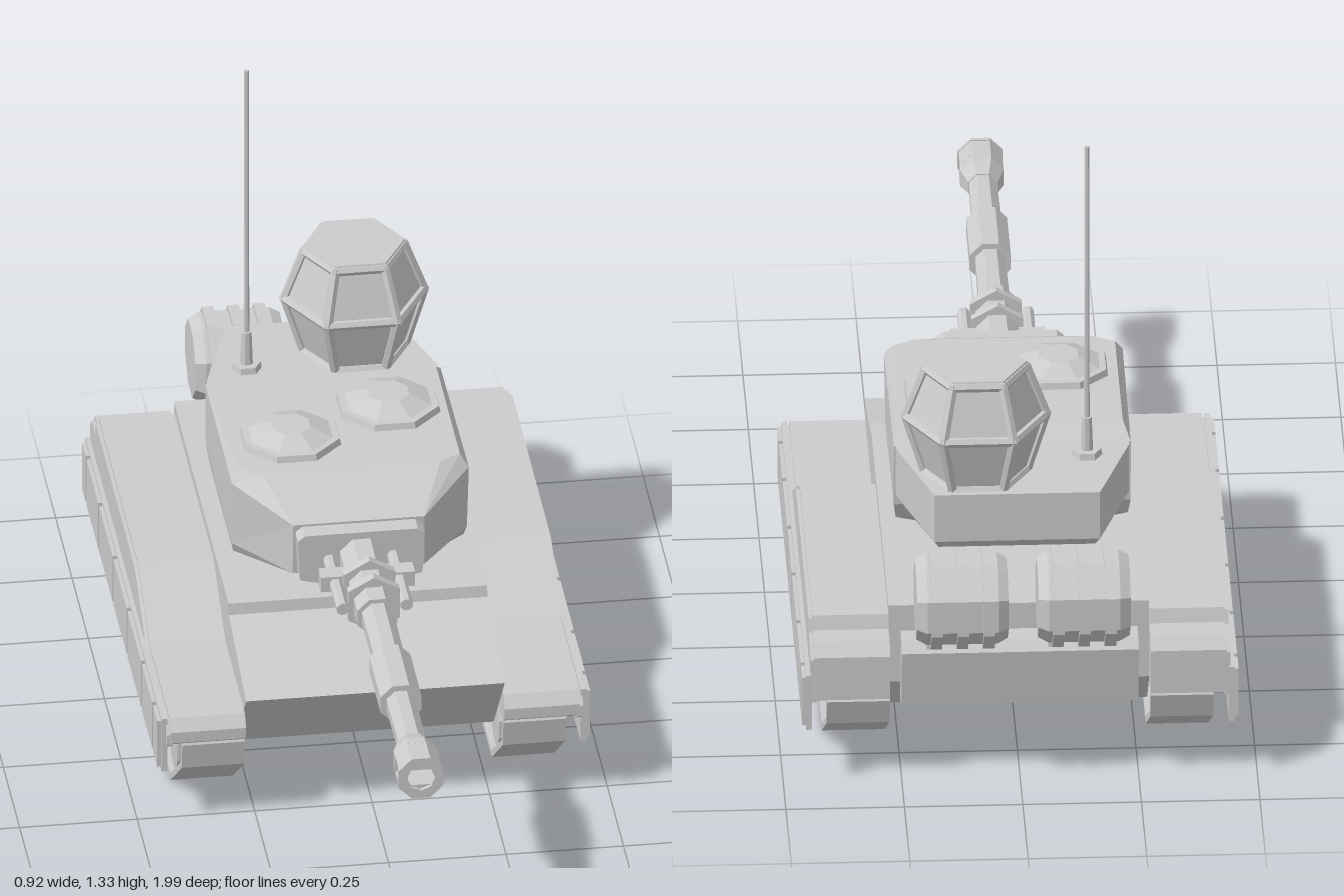
import * as THREE from 'three';

const grey = new THREE.MeshStandardMaterial({ color: 0xcccccc, flatShading: true });

export function createModel() {
  const model = new THREE.Group();
  const add = (name, geo, parent = model) => {
    const mesh = new THREE.Mesh(geo, grey);
    mesh.name = name;
    parent.add(mesh);
    return mesh;
  };
  const group = (name) => {
    const g = new THREE.Group();
    g.name = name;
    model.add(g);
    return g;
  };
  const box = (name, size, pos, parent) =>
    add(name, new THREE.BoxGeometry(...size).translate(...pos), parent);

  // Cylinder or frustum along an axis; r1 is the end at the larger coordinate
  const cyl = (name, axis, r1, r0, h, sides, pos, parent, turn = Math.PI / sides) => {
    const g = new THREE.CylinderGeometry(r1, r0, h, sides, 1, false, turn);
    if (axis === 'z') g.rotateX(Math.PI / 2);
    if (axis === 'x') g.rotateZ(-Math.PI / 2);
    return add(name, g.translate(...pos), parent);
  };
  const toShape = (pts) => new THREE.Shape(pts.map((p) => new THREE.Vector2(...p)));

  // Side profile of [z, y] points extruded across x0..x1
  const across = (name, pts, x0, x1, parent, hole) => {
    const s = toShape(pts);
    if (hole) s.holes.push(new THREE.Path(hole.map((p) => new THREE.Vector2(...p))));
    const g = new THREE.ExtrudeGeometry(s, { depth: x1 - x0, bevelEnabled: false });
    return add(name, g.rotateY(-Math.PI / 2).translate(x1, 0, 0), parent);
  };

  // Stack of mirrored outlines; each ring lists its +x half from front to back
  const loft = (name, halves, parent) => {
    const rings = halves.map((h) => [...h, ...[...h].reverse().map(([x, y, z]) => [-x, y, z])]);
    const n = rings[0].length;
    const idx = [];
    for (let i = 0; i < rings.length - 1; i++) {
      for (let j = 0; j < n; j++) {
        const a = i * n + j, b = i * n + (j + 1) % n;
        idx.push(a, b, b + n, a, b + n, a + n);
      }
    }
    const top = (rings.length - 1) * n;
    for (let j = 1; j < n - 1; j++) idx.push(0, j + 1, j, top, top + j, top + j + 1);
    const g = new THREE.BufferGeometry();
    g.setAttribute('position', new THREE.Float32BufferAttribute(rings.flat(2), 3));
    g.setIndex(idx);
    g.computeVertexNormals();
    return add(name, g, parent);
  };

  // Hull
  across('hull', [[0.3, 0.3], [0.035, 0.355], [0.03, 0.38], [-0.81, 0.38], [-0.81, 0.2],
    [-0.72, 0.105], [0.13, 0.105]], -0.275, 0.275);
  across('rearPlate', [[-0.8, 0.32], [-0.86, 0.32], [-0.88, 0.3], [-0.86, 0.17], [-0.8, 0.15]], -0.25, 0.25);

  // Running gear, one set per side
  const belt = [[0.1, 0], [0.27, 0.13], [0.28, 0.19], [0.25, 0.24], [-0.84, 0.24], [-0.88, 0.19], [-0.86, 0.13], [-0.64, 0]];
  const beltInner = [[0.094, 0.014], [0.257, 0.137], [0.266, 0.19], [0.244, 0.227], [-0.834, 0.227], [-0.866, 0.19], [-0.847, 0.137], [-0.634, 0.014]];
  const fender = [[0.27, 0.19], [0.3, 0.21], [0.3, 0.235], [0.28, 0.26], [-0.02, 0.26], [-0.2, 0.355], [-0.8, 0.355],
    [-0.81, 0.325], [-0.865, 0.325], [-0.89, 0.3], [-0.89, 0.2], [-0.86, 0.19]];
  const panelEnds = [0.28, 0.2, 0.03, -0.19, -0.405, -0.625, -0.82, -0.89];
  for (const s of [1, -1]) {
    const side = group(s > 0 ? 'leftRunningGear' : 'rightRunningGear');
    const span = (a, b) => (s > 0 ? [a, b] : [-b, -a]);
    across('track', belt, ...span(0.275, 0.408), side, beltInner);
    across('fender', fender, ...span(0.275, 0.435), side);
    across('fenderEdge', fender.map(([z, y]) => [z * 0.99 - 0.003, y - 0.008]), ...span(0.43, 0.443), side);
    for (let i = 0; i < 5; i++) {
      cyl('roadWheel', 'x', 0.068, 0.068, 0.11, 10, [s * 0.342, 0.08, 0.06 - i * 0.1725], side);
    }
    for (const z of [0.2, -0.8]) cyl('endWheel', 'x', 0.045, 0.045, 0.11, 10, [s * 0.342, 0.18, z], side);
    for (let i = 0; i < 7; i++) {
      const len = panelEnds[i] - panelEnds[i + 1];
      const z = (panelEnds[i] + panelEnds[i + 1]) / 2;
      box('skirtPanel', [0.013, 0.128, len], [s * 0.446, 0.195, z], side);
      box('skirtPlate', [0.013, 0.112, len - 0.014], [s * 0.454, 0.195, z], side);
    }
  }

  // Rear fuel drums
  for (const x of [0.125, -0.132]) {
    const drum = group('fuelDrum');
    cyl('drumBody', 'x', 0.097, 0.097, 0.15, 8, [x, 0.435, -0.89], drum);
    for (const s of [1, -1]) {
      cyl('drumEnd', 'x', s > 0 ? 0.085 : 0.097, s > 0 ? 0.097 : 0.085, 0.022, 8, [x + s * 0.086, 0.435, -0.89], drum);
      box('drumBracket', [0.025, 0.08, 0.1], [x + s * 0.06, 0.35, -0.83], drum);
    }
    for (const d of [-0.055, 0, 0.055]) cyl('drumRib', 'x', 0.107, 0.107, 0.024, 8, [x + d, 0.435, -0.89], drum);
  }

  // Turret body and rear bustle
  const turret = group('turret');
  cyl('turretRing', 'y', 0.19, 0.19, 0.03, 12, [0, 0.388, -0.29], turret);
  loft('turretBody', [
    [[0.12, 0.395, -0.11], [0.2, 0.395, -0.17], [0.2, 0.395, -0.45]],
    [[0.135, 0.42, -0.03], [0.245, 0.42, -0.12], [0.245, 0.42, -0.48]],
    [[0.14, 0.45, 0.04], [0.25, 0.45, -0.1], [0.25, 0.46, -0.5]],
    [[0.14, 0.57, 0.045], [0.252, 0.605, -0.085], [0.25, 0.6, -0.505]],
    [[0.19, 0.63, -0.075], [0.235, 0.63, -0.1], [0.235, 0.63, -0.46]],
  ], turret);
  loft('bustle', [
    [[0.235, 0.463, -0.45], [0.225, 0.463, -0.53], [0.165, 0.468, -0.715]],
    [[0.25, 0.49, -0.45], [0.245, 0.49, -0.52], [0.175, 0.49, -0.735]],
    [[0.25, 0.6, -0.45], [0.245, 0.6, -0.52], [0.175, 0.6, -0.735]],
  ], turret);

  // Roof hatches
  for (const [x, z, r] of [[-0.11, -0.215, 0.112], [0.113, -0.32, 0.115]]) {
    cyl('hatchRim', 'y', r * 0.96, r, 0.016, 8, [x, 0.636, z], turret);
    cyl('hatchDome', 'y', r * 0.4, r * 0.85, 0.02, 8, [x, 0.653, z], turret);
  }

  // Aerial
  cyl('aerialFoot', 'y', 0.03, 0.033, 0.016, 6, [-0.155, 0.606, -0.56], turret);
  cyl('aerialSocket', 'y', 0.011, 0.014, 0.08, 8, [-0.155, 0.65, -0.56], turret);
  cyl('aerial', 'y', 0.005, 0.006, 0.65, 6, [-0.155, 1.005, -0.56], turret);

  // Six-sided cupola: recessed panes inside a frame of bars
  const cupola = group('cupola');
  cupola.position.set(0.082, 0, -0.618);
  const levels = [[0.108, 0.6], [0.148, 0.73], [0.106, 0.842]];
  const corner = ([r, y], i) => new THREE.Vector3(r * Math.cos(i * Math.PI / 3), y, r * Math.sin(i * Math.PI / 3));
  const bar = (a, b) => {
    const m = add('frameBar', new THREE.CylinderGeometry(0.011, 0.011, a.distanceTo(b) + 0.008, 6), cupola);
    m.position.copy(a).add(b).multiplyScalar(0.5);
    m.quaternion.setFromUnitVectors(new THREE.Vector3(0, 1, 0), b.clone().sub(a).normalize());
  };
  for (let k = 0; k < 2; k++) {
    const [[r0, y0], [r1, y1]] = [levels[k], levels[k + 1]];
    cyl('panes', 'y', r1, r0, y1 - y0, 6, [0, (y0 + y1) / 2, 0], cupola, Math.PI / 6);
  }
  for (let i = 0; i < 6; i++) {
    levels.forEach((l, k) => {
      bar(corner(l, i), corner(l, i + 1));
      if (k < 2) bar(corner(l, i), corner(levels[k + 1], i));
    });
  }
  cyl('cupolaLid', 'y', 0.108, 0.114, 0.016, 6, [0, 0.847, 0], cupola, Math.PI / 6);

  // Gun mantlet and collar
  const gun = group('gun');
  gun.position.y = 0.503;
  const plate = (name, pts, z0, depth) =>
    add(name, new THREE.ExtrudeGeometry(toShape(pts), { depth, bevelEnabled: false }).translate(0, 0, z0), gun);
  plate('mantlet', [[0.13, -0.045], [0.135, 0.05], [0.12, 0.062], [-0.12, 0.062], [-0.135, 0.05],
    [-0.13, -0.045], [-0.06, -0.062], [0.06, -0.062]], 0.03, 0.055);
  for (const z of [0.19, 0.26]) {
    plate('collarFlange', [[0.055, -0.035], [0.055, 0.035], [0, 0.066], [-0.055, 0.035], [-0.055, -0.035], [0, -0.066]], z, 0.02);
  }
  cyl('collar', 'z', 0.046, 0.05, 0.25, 8, [0, 0, 0.205], gun);
  box('crossPiece', [0.2, 0.035, 0.04], [0, 0, 0.165], gun);
  for (const s of [1, -1]) cyl('recoilTube', 'z', 0.014, 0.014, 0.21, 8, [s * 0.068, 0, 0.185], gun);

  // Barrel with sleeve
  cyl('barrel', 'z', 0.032, 0.036, 0.56, 8, [0, 0, 0.6], gun);
  cyl('barrelSleeve', 'z', 0.047, 0.047, 0.17, 8, [0, 0, 0.605], gun);

  // Muzzle brake, open through both sides
  cyl('muzzleFlare', 'z', 0.05, 0.034, 0.045, 8, [0, 0, 0.888], gun);
  cyl('muzzleBack', 'z', 0.05, 0.05, 0.022, 8, [0, 0, 0.921], gun);
  for (const s of [1, -1]) {
    const m = plate('muzzleCheek', [[0.046, 0.02], [0.02, 0.046], [-0.02, 0.046], [-0.046, 0.02]], 0.93, 0.062);
    if (s < 0) m.rotation.z = Math.PI;
  }
  const ring = toShape(Array.from({ length: 8 }, (_, i) =>
    [0.052 * Math.cos((i + 0.5) * Math.PI / 4), 0.052 * Math.sin((i + 0.5) * Math.PI / 4)]));
  ring.holes.push(new THREE.Path().absarc(0, 0, 0.03, 0, Math.PI * 2, true));
  add('muzzleRing', new THREE.ExtrudeGeometry(ring, { depth: 0.01, bevelEnabled: false, curveSegments: 4 }).translate(0, 0, 0.99), gun);

  return model;
}
